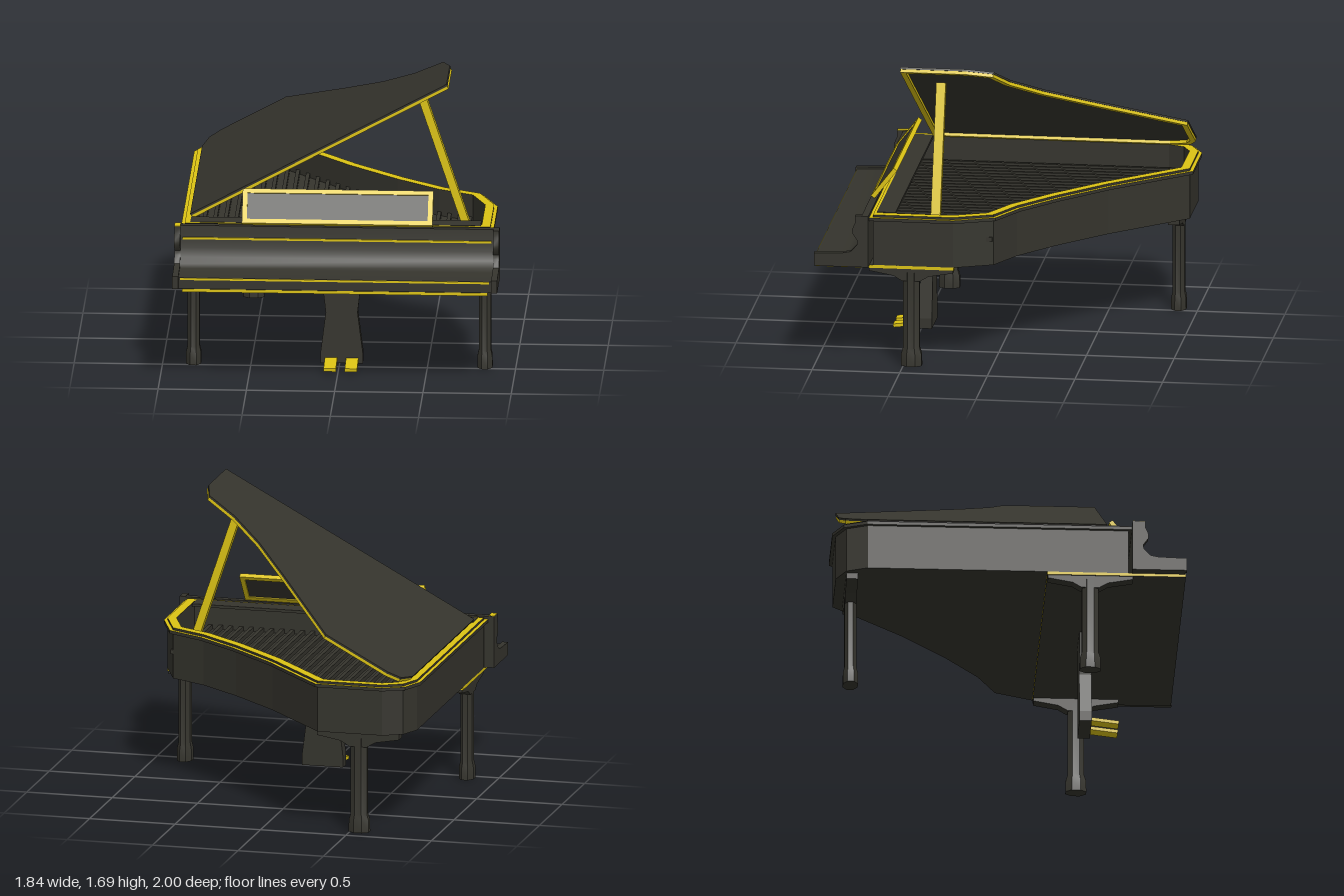
import * as THREE from 'three';
import { toCreasedNormals } from 'three/addons/utils/BufferGeometryUtils.js';

const dark = new THREE.MeshStandardMaterial({ color: 0x35342d });
dark.name = 'charcoal';
const gold = new THREE.MeshStandardMaterial({ color: 0xdcc314 });
gold.name = 'gold';

// Plan outline of the case as [x, -z], counter-clockwise
const CASE = [
  [-0.885, -0.69], [0.885, -0.69], [0.885, -0.21], [0.79, 0.02], [0.58, 0.13], [0.34, 0.32],
  [0.06, 0.58], [-0.32, 1.0], [-0.71, 1.0], [-0.83, 0.94], [-0.885, 0.81],
];
// Plan outline of the lid, measured from its hinge
const LID = [
  [0, -0.55], [1.65, -0.55], [1.65, -0.17], [1.6, -0.02], [1.41, 0.055], [1.2, 0.22],
  [0.94, 0.5], [0.53, 0.965], [0.12, 0.965], [0.04, 0.93], [0, 0.81],
];

// Moves every edge of a polygon inwards by d
function inset(points, d) {
  const n = points.length;
  const dir = (a, b) => new THREE.Vector2(b[0] - a[0], b[1] - a[1]).normalize();
  return points.map((p, i) => {
    const e = dir(points[(i + n - 1) % n], p);
    const f = dir(p, points[(i + 1) % n]);
    const k = d / (1 + e.dot(f));
    return [p[0] - (e.y + f.y) * k, p[1] + (e.x + f.x) * k];
  });
}

const vectors = (points) => points.map(([x, y]) => new THREE.Vector2(x, y));

function add(parent, name, geometry, material, x = 0, y = 0, z = 0) {
  const mesh = new THREE.Mesh(geometry, material);
  mesh.name = name;
  mesh.position.set(x, y, z);
  parent.add(mesh);
  return mesh;
}

const box = (parent, name, size, material, position) =>
  add(parent, name, new THREE.BoxGeometry(...size), material, ...position);

// Horizontal plate or ring between two heights
function plate(parent, name, outer, inner, y0, y1, material) {
  const shape = new THREE.Shape(vectors(outer));
  if (inner) shape.holes.push(new THREE.Path(vectors(inner)));
  const g = new THREE.ExtrudeGeometry(shape, { depth: y1 - y0, bevelEnabled: false });
  return add(parent, name, g.rotateX(-Math.PI / 2), material, 0, y0, 0);
}

// Side profile given as [z, y], extruded across x
function profile(parent, name, points, width, material, x = 0) {
  const g = new THREE.ExtrudeGeometry(new THREE.Shape(vectors(points)), { depth: width, bevelEnabled: false });
  g.rotateY(-Math.PI / 2).translate(width / 2, 0, 0);
  return add(parent, name, toCreasedNormals(g, 0.6), material, x);
}

// Octagonal leg with flared foot and a shaped bracket running along its local x
function leg(parent, name, x, z, turn) {
  const g = new THREE.Group();
  g.name = name;
  const outline = vectors([[0, 0], [1.25, 0], [1.22, 0.07], [1, 0.105], [1, 0.55]]);
  const column = new THREE.LatheGeometry(outline, 8, Math.PI / 8).scale(0.051, 1, 0.037);
  add(g, 'legColumn', toCreasedNormals(column, 0.5), dark);
  const shape = new THREE.Shape(vectors([
    [-0.24, 0.59], [-0.24, 0.555], [-0.1, 0.53], [-0.05, 0.5],
    [0.05, 0.5], [0.1, 0.53], [0.24, 0.555], [0.24, 0.59],
  ]));
  const bracket = new THREE.ExtrudeGeometry(shape, { depth: 0.066, bevelEnabled: false });
  add(g, 'legBracket', bracket, dark, 0, 0, -0.033);
  g.position.set(x, 0, z);
  g.rotation.y = turn;
  parent.add(g);
}

export function createModel() {
  const model = new THREE.Group();
  model.name = 'grandPiano';

  // Curved case with an overhanging lip and gold top edges
  const wall = inset(CASE, 0.02);
  const inner = inset(CASE, 0.07);
  plate(model, 'caseWall', wall, inner, 0.59, 0.881, dark);
  plate(model, 'caseTopEdge', wall, inner, 0.881, 0.885, [gold, dark]);
  plate(model, 'caseLip', CASE, wall, 0.853, 0.869, dark);
  plate(model, 'lipTop', CASE, wall, 0.869, 0.872, [gold, dark]);
  plate(model, 'soundboard', inner, null, 0.59, 0.73, dark);

  // String bars running front to back, trimmed to the case
  for (let x = -0.78; x < 0.8; x += 0.06) {
    let back = 0;
    inner.forEach((a, i) => {
      const b = inner[(i + 1) % inner.length];
      if ((a[0] - x) * (b[0] - x) < 0) {
        back = Math.max(back, a[1] + ((b[1] - a[1]) * (x - a[0])) / (b[0] - a[0]), -0.2);
      }
    });
    const length = back + 0.62;
    box(model, 'stringBar', [0.022, 0.025, length], dark, [x, 0.742, 0.62 - length / 2]);
  }

  // Fixed panel behind the music desk
  box(model, 'frontPanel', [1.645, 0.016, 0.106], dark, [-0.0125, 0.879, 0.602]);

  // Closed keyboard cover with a hollow front
  profile(model, 'keyboardCover', [
    [0.69, 0.59], [0.99, 0.59], [0.99, 0.655], [0.82, 0.66], [0.78, 0.675], [0.755, 0.71],
    [0.742, 0.76], [0.735, 0.81], [0.73, 0.888], [0.69, 0.888],
  ], 1.78, dark);
  box(model, 'upperTrim', [1.75, 0.012, 0.012], gold, [0, 0.815, 0.737]);
  box(model, 'lowerTrim', [1.75, 0.012, 0.012], gold, [0, 0.648, 0.987]);

  // Shaped cheeks at both ends of the keyboard
  for (const side of [-1, 1]) {
    profile(model, 'cheek', [
      [0.69, 0.59], [1.0, 0.59], [1.0, 0.665], [0.84, 0.67], [0.79, 0.68], [0.755, 0.72],
      [0.752, 0.745], [0.78, 0.785], [0.782, 0.81], [0.765, 0.85], [0.765, 0.89], [0.69, 0.89],
    ], 0.034, dark, side * 0.903);
  }
  box(model, 'cheekCap', [0.034, 0.003, 0.07], gold, [-0.903, 0.891, 0.727]);

  // Key bed with gold edges
  box(model, 'keyBed', [1.73, 0.018, 0.785], [gold, gold, dark, dark, gold, gold], [0, 0.582, 0.603]);

  // Raised lid hinged along the left edge, gold border underneath
  const lid = new THREE.Group();
  lid.name = 'lid';
  lid.position.set(-0.835, 0.893, 0);
  lid.rotation.z = 0.495;
  plate(lid, 'lidBoard', LID, null, 0, 0.012, dark);
  plate(lid, 'lidBorder', inset(LID, 0.003), inset(LID, 0.035), -0.018, 0, gold);
  model.add(lid);

  // Lid prop
  const foot = new THREE.Vector2(0.735, 0.74);
  const top = new THREE.Vector2(0.46, 1.56);
  const prop = box(model, 'lidProp', [0.045, foot.distanceTo(top), 0.054], gold,
    [(foot.x + top.x) / 2, (foot.y + top.y) / 2, 0.333]);
  prop.rotation.z = Math.atan2(foot.x - top.x, top.y - foot.y);

  // Leaning music desk
  const desk = new THREE.Group();
  desk.name = 'musicDesk';
  desk.position.set(0, 0.98, 0.65);
  desk.rotation.x = -0.66;
  for (const side of [-1, 1]) {
    box(desk, 'deskRail', [1.08, 0.026, 0.026], gold, [0, side * 0.092, 0]);
    box(desk, 'deskStile', [0.028, 0.16, 0.026], gold, [side * 0.526, 0, 0]);
  }
  box(desk, 'deskPanel', [1.03, 0.165, 0.012], dark, [0, 0, 0]);
  model.add(desk);

  // Legs
  leg(model, 'frontLeg', -0.825, 0.455, Math.PI / 2);
  leg(model, 'frontLeg', 0.825, 0.455, Math.PI / 2);
  leg(model, 'rearLeg', -0.55, -0.89, 0);

  // Waisted pedal board and two pedals
  const board = new THREE.Shape(vectors([
    [-0.12, 0.02], [0.12, 0.02], [0.12, 0.08], [0.09, 0.32], [0.12, 0.575],
    [-0.12, 0.575], [-0.09, 0.32], [-0.12, 0.08],
  ]));
  add(model, 'pedalBoard', new THREE.ExtrudeGeometry(board, { depth: 0.07, bevelEnabled: false }), dark, 0.015, 0, 0.43);
  for (const x of [-0.045, 0.075]) {
    const pedal = box(model, 'pedal', [0.07, 0.02, 0.17], gold, [x, 0.034, 0.57]);
    pedal.rotation.x = 0.12;
  }
  return model;
}
